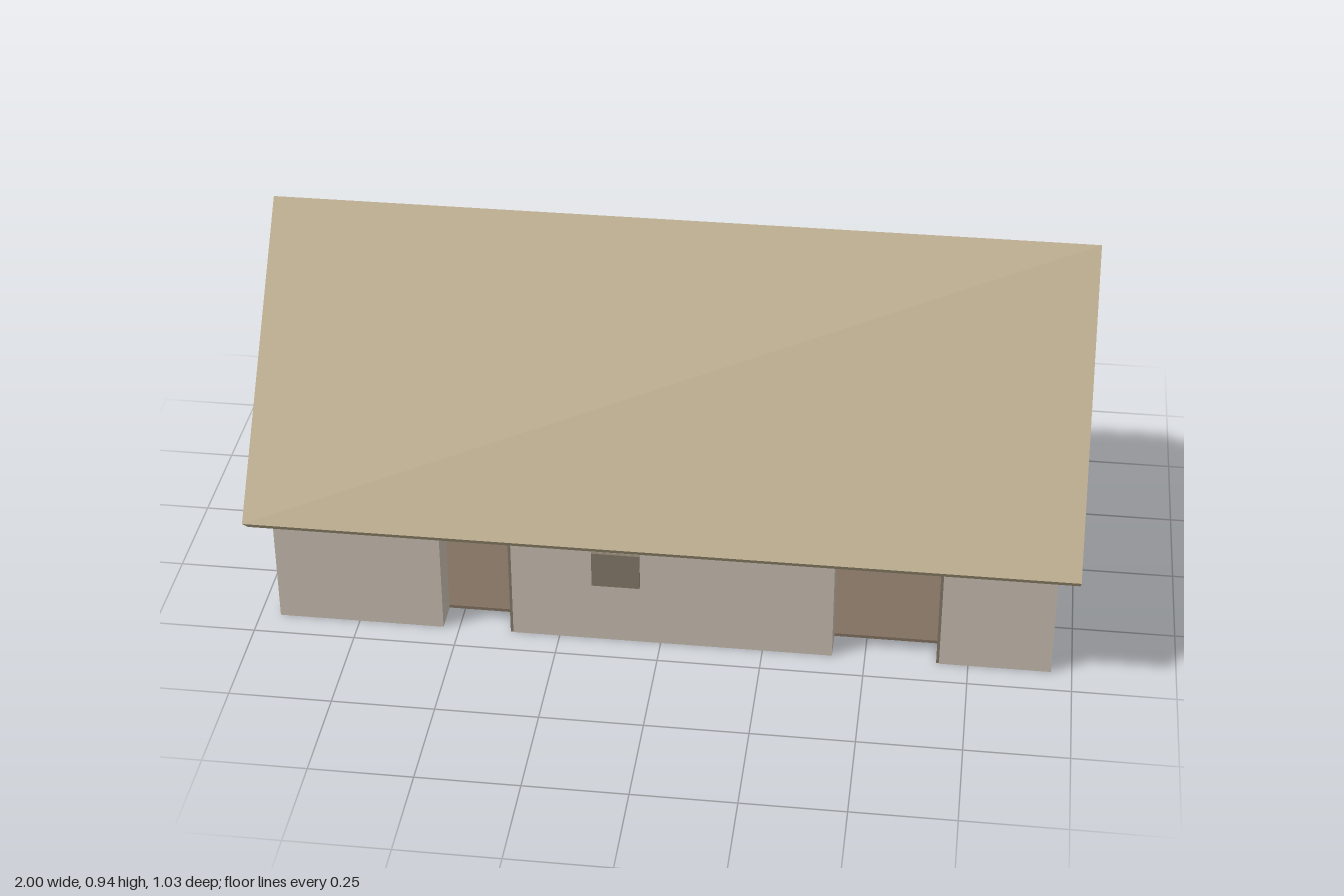
import * as THREE from 'three';

const flat = (name, color) => {
  const m = new THREE.MeshStandardMaterial({ color });
  m.name = name;
  return m;
};

export function createModel() {
  const house = new THREE.Group();
  house.name = 'house';
  const plaster = flat('plaster', 0xc8beb0);
  const thatch = flat('thatch', 0xb8a888);
  const wood = flat('wood', 0x85796a);
  const earth = flat('earth', 0x807060);

  const add = (name, geometry, material) => {
    const mesh = new THREE.Mesh(geometry, material);
    mesh.name = name;
    house.add(mesh);
    return mesh;
  };
  // Box given by its limits on each axis
  const box = (name, material, [x0, x1], [y0, y1], [z0, z1]) => {
    const mesh = add(name, new THREE.BoxGeometry(x1 - x0, y1 - y0, z1 - z0), material);
    mesh.position.set((x0 + x1) / 2, (y0 + y1) / 2, (z0 + z1) / 2);
    return mesh;
  };
  // Cross-section of [z, y] points swept along x
  const section = (name, material, points, x0, x1) => {
    const shape = new THREE.Shape(points.map(([z, y]) => new THREE.Vector2(-z, y)));
    const geometry = new THREE.ExtrudeGeometry(shape, { depth: x1 - x0, bevelEnabled: false });
    geometry.rotateY(Math.PI / 2).translate(x0, 0, 0);
    return add(name, geometry, material);
  };

  const halfX = 0.95, halfZ = 0.43, thick = 0.08, eave = 0.33;
  const inX = halfX - thick, inZ = halfZ - thick;

  // Gable walls
  const gable = [[halfZ, 0], [halfZ, eave], [0, 0.868], [-halfZ, eave], [-halfZ, 0]];
  section('leftGableWall', plaster, gable, inX, halfX);
  section('rightGableWall', plaster, gable, -halfX, -inX);

  // Back wall, and front wall broken by two doorways
  box('backWall', plaster, [-inX, inX], [0, eave], [-halfZ, -inZ]);
  const doorways = [[-0.54, -0.365], [0.42, 0.68]];
  let start = -inX;
  for (const [x0, x1] of doorways) {
    box('frontWall', plaster, [start, x0], [0, eave], [inZ, halfZ]);
    box('doorLintel', wood, [x0, x1], [0.31, eave], [inZ, halfZ + 0.003]);
    box('doorJamb', wood, [x1 - 0.007, x1], [0, 0.31], [inZ, halfZ - 0.002]);
    start = x1;
  }
  box('frontWall', plaster, [start, inX], [0, eave], [inZ, halfZ]);

  // Floor and shutter
  box('floor', earth, [-inX, inX], [0, 0.008], [-inZ, inZ]);
  box('windowShutter', wood, [-0.167, -0.05], [0.165, 0.26], [halfZ, halfZ + 0.008]);

  // Two sloping roof slabs meeting at the ridge
  section('roof', thatch, [
    [0.515, 0.33], [0, 0.945], [-0.515, 0.33],
    [-0.47, 0.29], [0, 0.884], [0.47, 0.29],
  ], -1, 1);

  return house;
}
